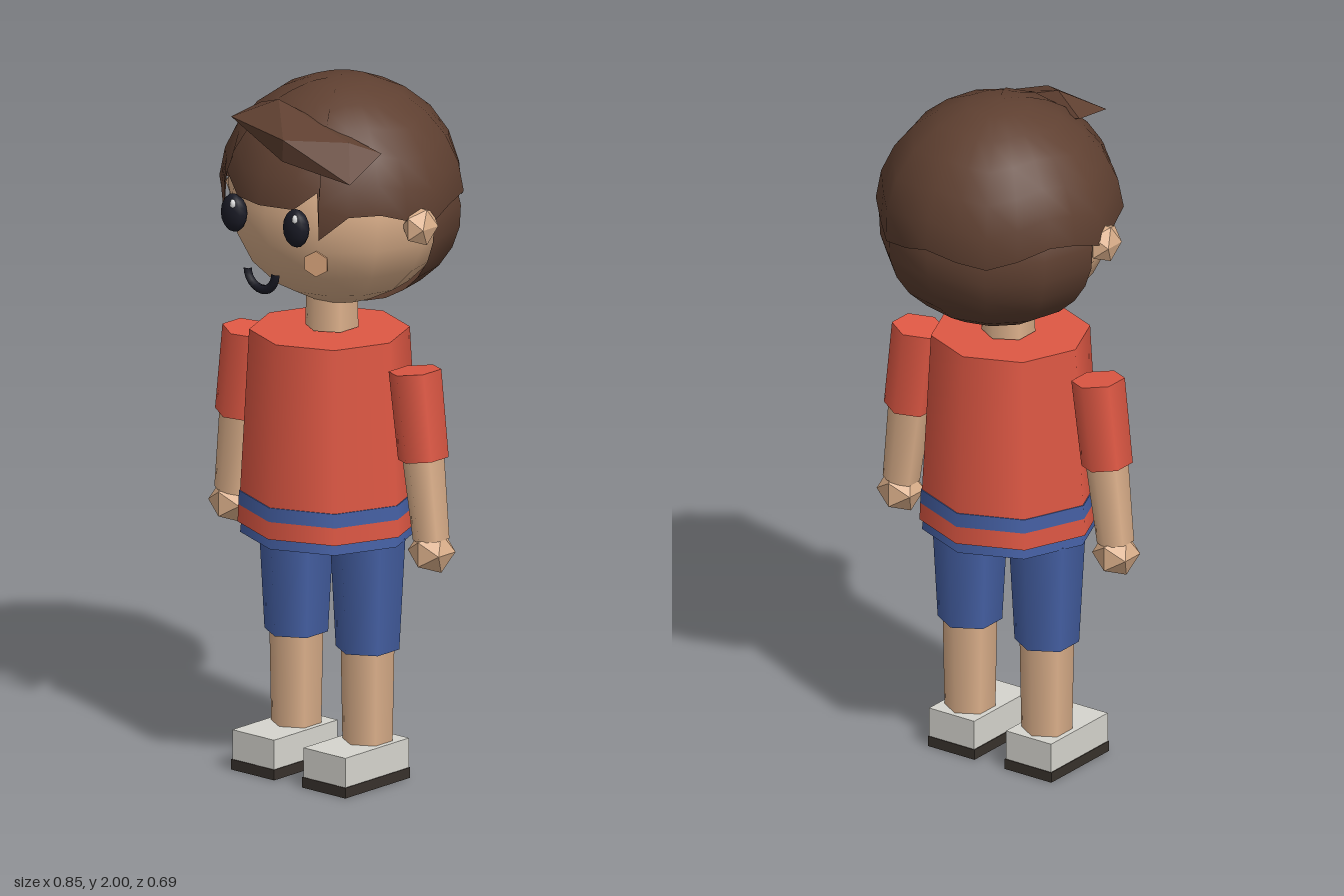
import * as THREE from 'three';
import { ConvexGeometry } from 'three/addons/geometries/ConvexGeometry.js';

const mat = (name, color, extra = {}) => new THREE.MeshStandardMaterial({ name, color, ...extra });

export function createModel() {
  const model = new THREE.Group();
  model.name = 'boy';
  const skin = mat('skin', 0xdcb08b);
  const shirt = mat('shirt red', 0xdf5844);
  const blue = mat('shorts blue', 0x4560a4);
  const hair = mat('hair brown', 0x5f4031, { side: THREE.DoubleSide });
  const shoeGrey = mat('shoe grey', 0xd6d5ce);
  const soleDark = mat('sole dark', 0x38312c);
  const ink = mat('eye black', 0x1a1b26);
  const white = mat('eye glint', 0xf2f2f2);
  const blush = mat('cheek', 0xd6a27a);
  const faceted = mat('skin faceted', 0xdcb08b, { flatShading: true });

  const add = (name, geo, material, x, y, z, parent = model) => {
    const m = new THREE.Mesh(geo, material);
    m.name = name;
    m.position.set(x, y, z);
    parent.add(m);
    return m;
  };
  // Upright tapered tube between two heights
  const tube = (name, rTop, rBot, top, bot, sides, material, x, z, parent) =>
    add(name, new THREE.CylinderGeometry(rTop, rBot, top - bot, sides), material, x, (top + bot) / 2, z, parent);

  // Torso: octagonal shirt with stripe, hem and waistband
  tube('shirt', 0.223, 0.248, 1.28, 0.815, 8, shirt, 0, 0.05);
  tube('shirtStripe', 0.251, 0.253, 0.815, 0.775, 8, blue, 0, 0.05);
  tube('shirtHem', 0.253, 0.255, 0.775, 0.725, 8, shirt, 0, 0.05);
  tube('shortsWaist', 0.245, 0.248, 0.725, 0.695, 8, blue, 0, 0.05);
  tube('neck', 0.072, 0.075, 1.42, 1.285, 6, skin, 0, 0.04);

  for (const s of [1, -1]) {
    const side = s > 0 ? 'left' : 'right';

    // Leg and shoe
    tube(side + 'ShortsLeg', 0.107, 0.09, 0.7, 0.38, 6, blue, s * 0.132, 0.04);
    tube(side + 'Leg', 0.076, 0.071, 0.39, 0.11, 6, skin, s * 0.132, 0.04);
    add(side + 'Shoe', new THREE.BoxGeometry(0.155, 0.085, 0.265), shoeGrey, s * 0.132, 0.0725, 0.087);
    add(side + 'Sole', new THREE.BoxGeometry(0.16, 0.03, 0.27), soleDark, s * 0.132, 0.015, 0.087);

    // Arm hangs slightly outwards
    const arm = new THREE.Group();
    arm.name = side + 'Arm';
    arm.position.set(s * 0.308, 1.216, 0.04);
    arm.rotation.z = s * 0.125;
    model.add(arm);
    tube(side + 'Sleeve', 0.075, 0.072, 0, -0.25, 6, shirt, 0, 0, arm);
    tube(side + 'Forearm', 0.06, 0.052, -0.24, -0.48, 6, skin, 0, 0, arm);
    add(side + 'Hand', new THREE.IcosahedronGeometry(0.067, 0), faceted, s * 0.37, 0.707, 0.04);

    // Ear and eye
    add(side + 'Ear', new THREE.IcosahedronGeometry(0.06, 0), faceted, s * 0.328, 1.637, 0.04).scale.x = 0.75;
    add(side + 'Eye', new THREE.SphereGeometry(1, 10, 8), ink, s * 0.115, 1.65, 0.318).scale.set(0.043, 0.055, 0.028);
    add(side + 'EyeGlint', new THREE.SphereGeometry(1, 6, 5), white, s * 0.115 + 0.012, 1.681, 0.337)
      .scale.set(0.01, 0.014, 0.008);
  }

  // Head and face
  add('head', new THREE.SphereGeometry(1, 12, 10), skin, 0, 1.67, 0).scale.set(0.322, 0.315, 0.32);
  const smile = new THREE.TorusGeometry(0.053, 0.014, 5, 12, Math.PI);
  add('mouth', smile.rotateZ(Math.PI), ink, 0, 1.508, 0.333).scale.z = 0.75;
  const disc = new THREE.CylinderGeometry(0.037, 0.037, 0.008, 6).rotateX(Math.PI / 2);
  add('cheek', disc, blush, 0.185, 1.56, 0.313).rotation.y = 0.45;

  // Hair cap: dome whose lower edge follows [degrees from front, height]
  const edge = [[0, 1.7], [18, 1.7], [30, 1.755], [31, 1.62], [45, 1.685], [60, 1.69], [75, 1.66],
    [90, 1.645], [105, 1.67], [120, 1.685], [135, 1.65], [150, 1.63], [165, 1.64], [180, 1.665]];
  const columns = [...edge.slice(1).reverse().map(([a, y]) => [-a, y]), ...edge];
  const rows = 6, pos = [], nor = [], index = [];
  columns.forEach(([deg, y], i) => {
    const a = THREE.MathUtils.degToRad(deg);
    const local = THREE.MathUtils.degToRad((Math.abs(deg) % 30) - 15);
    const r = 0.346 * Math.cos(Math.PI / 12) / Math.cos(local); // twelve-sided outline
    const end = Math.acos((y - 1.67) / 0.33);
    for (let j = 0; j <= rows; j++) {
      const t = end * j / rows, n = [Math.sin(a) * Math.sin(t), Math.cos(t), Math.cos(a) * Math.sin(t)];
      pos.push(n[0] * r, n[1] * 0.33, n[2] * r);
      nor.push(...n);
      if (i && j) {
        const q = i * (rows + 1) + j, p = q - rows - 1;
        index.push(p - 1, p, q, p - 1, q, q - 1);
      }
    }
  });
  const cap = new THREE.BufferGeometry();
  cap.setAttribute('position', new THREE.Float32BufferAttribute(pos, 3));
  cap.setAttribute('normal', new THREE.Float32BufferAttribute(nor, 3));
  cap.setIndex(index);
  add('hairCap', cap, hair, 0, 1.67, 0);

  // Back hair down to the nape
  const nape = new THREE.SphereGeometry(1, 6, 8, Math.PI, Math.PI, Math.PI * 0.4, Math.PI * 0.6);
  add('backHair', nape, hair, 0, 1.62, -0.015).scale.set(0.33, 0.268, 0.325);

  // Swept quiff over the forehead
  const quiff = [[-0.16, 1.91, 0.28], [-0.16, 1.925, 0.155], [-0.05, 1.965, 0.205], [0.21, 1.89, 0.205],
    [0.28, 1.86, 0.148], [0.285, 1.8, 0.285], [0.08, 1.9, 0.333], [0.07, 1.835, 0.325], [0.23, 1.787, 0.2]];
  add('quiff', new ConvexGeometry(quiff.map(p => new THREE.Vector3(...p))), hair, 0, 0, 0);

  return model;
}
